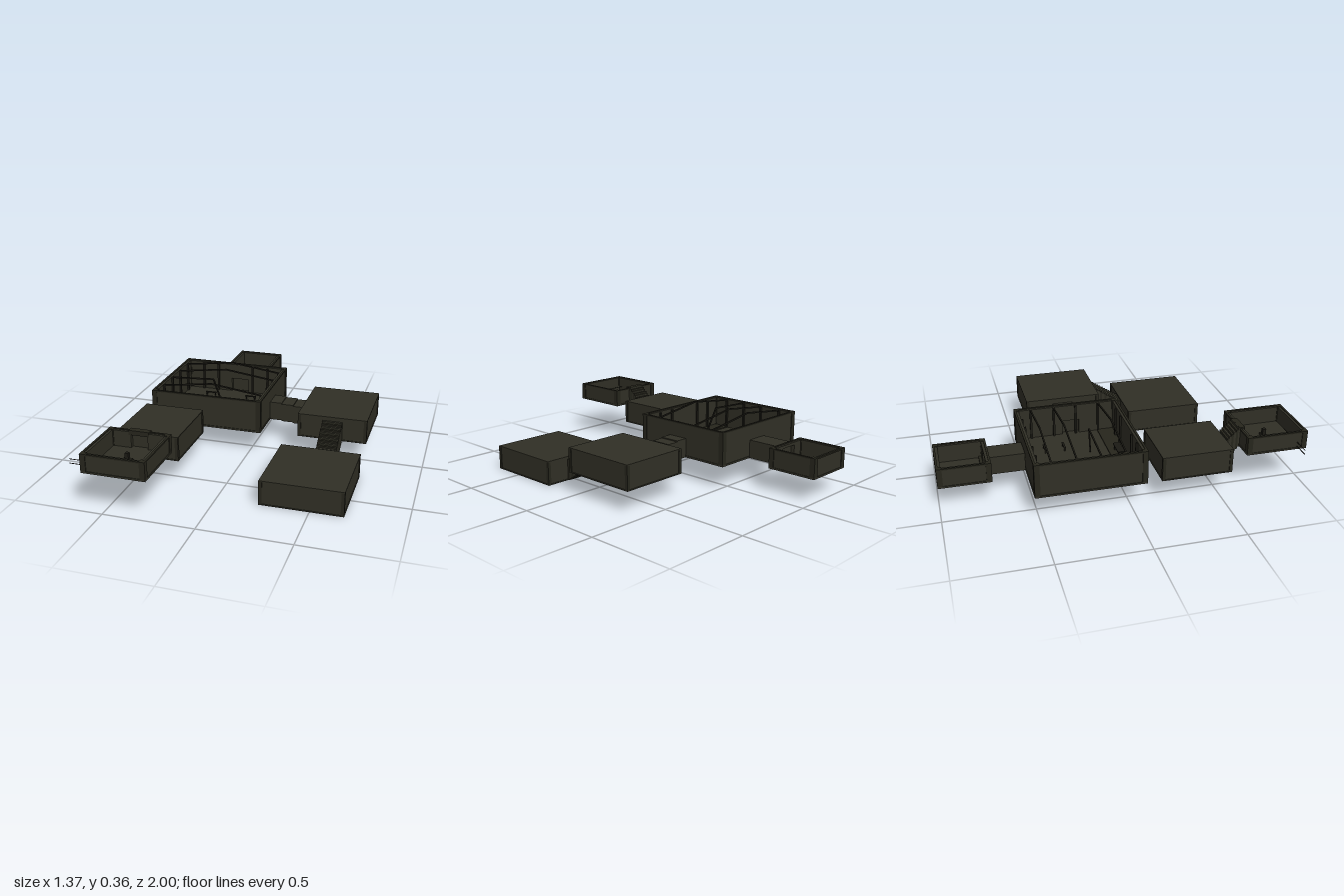
import * as THREE from 'three';

const material = (name, color) => {
  const m = new THREE.MeshStandardMaterial({ color });
  m.name = name;
  return m;
};

export function createModel() {
  const root = new THREE.Group();
  const stone = material('dark stone', 0x302f25);
  const frame = material('frame stone', 0x26251c);
  const timber = material('dark timber', 0x1b1a14);

  // Box given by its extents on each axis
  function box(parent, name, mat, x0, x1, y0, y1, z0, z1) {
    const mesh = new THREE.Mesh(new THREE.BoxGeometry(x1 - x0, y1 - y0, z1 - z0), mat);
    mesh.position.set((x0 + x1) / 2, (y0 + y1) / 2, (z0 + z1) / 2);
    mesh.name = name;
    parent.add(mesh);
    return mesh;
  }

  // Straight bar between two points
  function bar(parent, name, mat, a, b, w) {
    const p = new THREE.Vector3(...a), q = new THREE.Vector3(...b);
    const mesh = new THREE.Mesh(new THREE.BoxGeometry(w, w, p.distanceTo(q)), mat);
    mesh.position.copy(p).add(q).multiplyScalar(0.5);
    mesh.lookAt(q);
    mesh.name = name;
    parent.add(mesh);
  }

  function group(name) {
    const g = new THREE.Group();
    g.name = name;
    root.add(g);
    return g;
  }

  function cornerPosts(g, x0, x1, y0, y1, z0, z1, w) {
    for (const x of [x0, x1 - w])
      for (const z of [z0, z1 - w]) box(g, 'cornerPost', frame, x, x + w, y0, y1, z, z + w);
  }

  // Roofed room: slightly recessed walls between floor, roof and corner posts
  function closedRoom(name, x0, x1, y0, y1, z0, z1) {
    const g = group(name), i = 0.004, s = 0.006;
    box(g, 'walls', stone, x0 + i, x1 - i, y0 + s, y1 - s, z0 + i, z1 - i);
    box(g, 'floor', stone, x0, x1, y0, y0 + s, z0, z1);
    box(g, 'roof', stone, x0, x1, y1 - s, y1, z0, z1);
    cornerPosts(g, x0, x1, y0 + s, y1 - s, z0, z1, 0.018);
  }

  // Wall along one axis with an optional doorway [from, to, top]
  function wall(g, axis, from, to, c0, c1, y0, y1, door) {
    const part = (a, b, lo, hi) => axis === 'x'
      ? box(g, 'wall', stone, a, b, lo, hi, c0, c1)
      : box(g, 'wall', stone, c0, c1, lo, hi, a, b);
    if (!door) return part(from, to, y0, y1);
    const [d0, d1, top] = door;
    part(from, d0, y0, y1);
    part(d1, to, y0, y1);
    part(d0, d1, top, y1);
  }

  // Roofless room with doors in chosen walls
  function openRoom(name, x0, x1, y0, y1, z0, z1, doors) {
    const g = group(name), i = 0.004, t = 0.026, f = y0 + 0.01, top = y1 - 0.004;
    box(g, 'floor', stone, x0, x1, y0, f, z0, z1);
    wall(g, 'x', x0 + t, x1 - t, z0 + i, z0 + t, f, top, doors.back);
    wall(g, 'x', x0 + t, x1 - t, z1 - t, z1 - i, f, top, doors.front);
    wall(g, 'z', z0 + i, z1 - i, x0 + i, x0 + t, f, top, doors.right);
    wall(g, 'z', z0 + i, z1 - i, x1 - t, x1 - i, f, top, doors.left);
    cornerPosts(g, x0, x1, f, y1, z0, z1, 0.03);
    // Raised cap along the outer edge
    const c = 0.012;
    for (const z of [z0, z1 - c]) box(g, 'cap', frame, x0 + 0.03, x1 - 0.03, top - 0.004, y1, z, z + c);
    for (const x of [x0, x1 - c]) box(g, 'cap', frame, x, x + c, top - 0.004, y1, z0 + 0.03, z1 - 0.03);
    return g;
  }

  // Stepped passage running along z
  function steppedPassage(name, x0, x1, z0, z1, yA, yB, height, n) {
    const g = group(name), d = (z1 - z0) / n;
    for (let k = 0; k < n; k++) {
      const y = yA + (yB - yA) * k / (n - 1);
      box(g, 'step', k % 2 ? frame : stone, x0, x1, y, y + height, z0 + d * k, z0 + d * (k + 1));
    }
  }

  // Rooms
  const hall = openRoom('greatHall', -0.6, 0.07, 0.13, 0.325, -0.52, 0.09, {
    back: [-0.29, -0.18, 0.225], left: [-0.24, -0.14, 0.225],
  });
  const backRoom = openRoom('backRoom', -0.38, -0.09, 0.13, 0.245, -1, -0.71, {
    front: [-0.29, -0.18, 0.225],
  });
  const frontRoom = openRoom('frontRoom', -0.6, -0.25, 0.22, 0.325, 0.65, 1, {
    back: [-0.47, -0.375, 0.305],
  });
  closedRoom('sideRoom', 0.28, 0.68, 0.12, 0.26, -0.41, 0.04);
  closedRoom('lowerRoom', 0.23, 0.68, 0, 0.14, 0.22, 0.68);
  closedRoom('middleRoom', -0.6, -0.25, 0.13, 0.27, 0.17, 0.57);

  // Passages between rooms
  const backPassage = group('backPassage');
  box(backPassage, 'passage', stone, -0.3, -0.17, 0.13, 0.235, -0.712, -0.518);
  const sidePassage = group('sidePassage');
  for (let k = 0; k < 3; k++)
    box(sidePassage, 'passageSection', stone, 0.068 + 0.071 * k, 0.139 + 0.071 * k,
      0.13 - 0.005 * k, 0.24 - 0.006 * k, -0.25, -0.13);
  steppedPassage('lowerStairs', 0.425, 0.54, 0.038, 0.222, 0.113, 0.003, 0.122, 12);
  steppedPassage('frontStairs', -0.48, -0.365, 0.568, 0.655, 0.14, 0.212, 0.118, 7);
  box(frontRoom, 'doorSurround', frame, -0.48, -0.365, 0.305, 0.331, 0.648, 0.68);

  // Hall roof trusses and wall columns
  const trussZ = [-0.425, -0.29, -0.025];
  for (const z of trussZ) {
    bar(hall, 'rafter', timber, [-0.575, 0.317, z], [-0.262, 0.358, z], 0.008);
    bar(hall, 'rafter', timber, [-0.262, 0.358, z], [0.045, 0.317, z], 0.008);
  }
  bar(hall, 'brokenRafter', timber, [-0.575, 0.32, -0.16], [-0.3, 0.336, -0.16], 0.008);
  bar(hall, 'fallenRafter', timber, [-0.3, 0.336, -0.16], [-0.222, 0.15, -0.135], 0.008);
  for (const z of [...trussZ, -0.16])
    for (const x of [-0.575, 0.033]) box(hall, 'column', timber, x, x + 0.012, 0.14, 0.318, z - 0.006, z + 0.006);
  for (const x of [-0.48, -0.38, -0.15, -0.05])
    for (const z of [-0.495, 0.053]) box(hall, 'column', timber, x - 0.006, x + 0.006, 0.14, 0.315, z, z + 0.012);

  // Hall benches and high table
  for (const x of [-0.43, -0.165])
    for (const z of [-0.385, -0.275]) {
      box(hall, 'benchSeat', timber, x, x + 0.07, 0.158, 0.163, z, z + 0.012);
      for (const dx of [0.004, 0.06]) box(hall, 'benchLeg', timber, x + dx, x + dx + 0.006, 0.14, 0.158, z + 0.002, z + 0.01);
    }
  box(hall, 'dais', frame, -0.57, 0.04, 0.14, 0.146, -0.03, 0.064);
  box(hall, 'tableTop', timber, -0.32, -0.21, 0.175, 0.181, 0, 0.04);
  for (const x of [-0.31, -0.23]) box(hall, 'tableLeg', timber, x, x + 0.01, 0.146, 0.175, 0.005, 0.035);

  // Back room step
  box(backRoom, 'step', frame, -0.352, -0.118, 0.14, 0.15, -0.755, -0.738);

  // Front room pedestal and long rods through the wall
  box(frontRoom, 'pedestalBase', frame, -0.45, -0.4, 0.23, 0.24, 0.808, 0.838);
  box(frontRoom, 'pedestal', timber, -0.435, -0.415, 0.24, 0.275, 0.813, 0.833);
  for (const y of [0.236, 0.26])
    bar(frontRoom, 'rod', timber, [-0.69, y, 0.945], [-0.43, y, 0.945], 0.003);

  return root;
}
